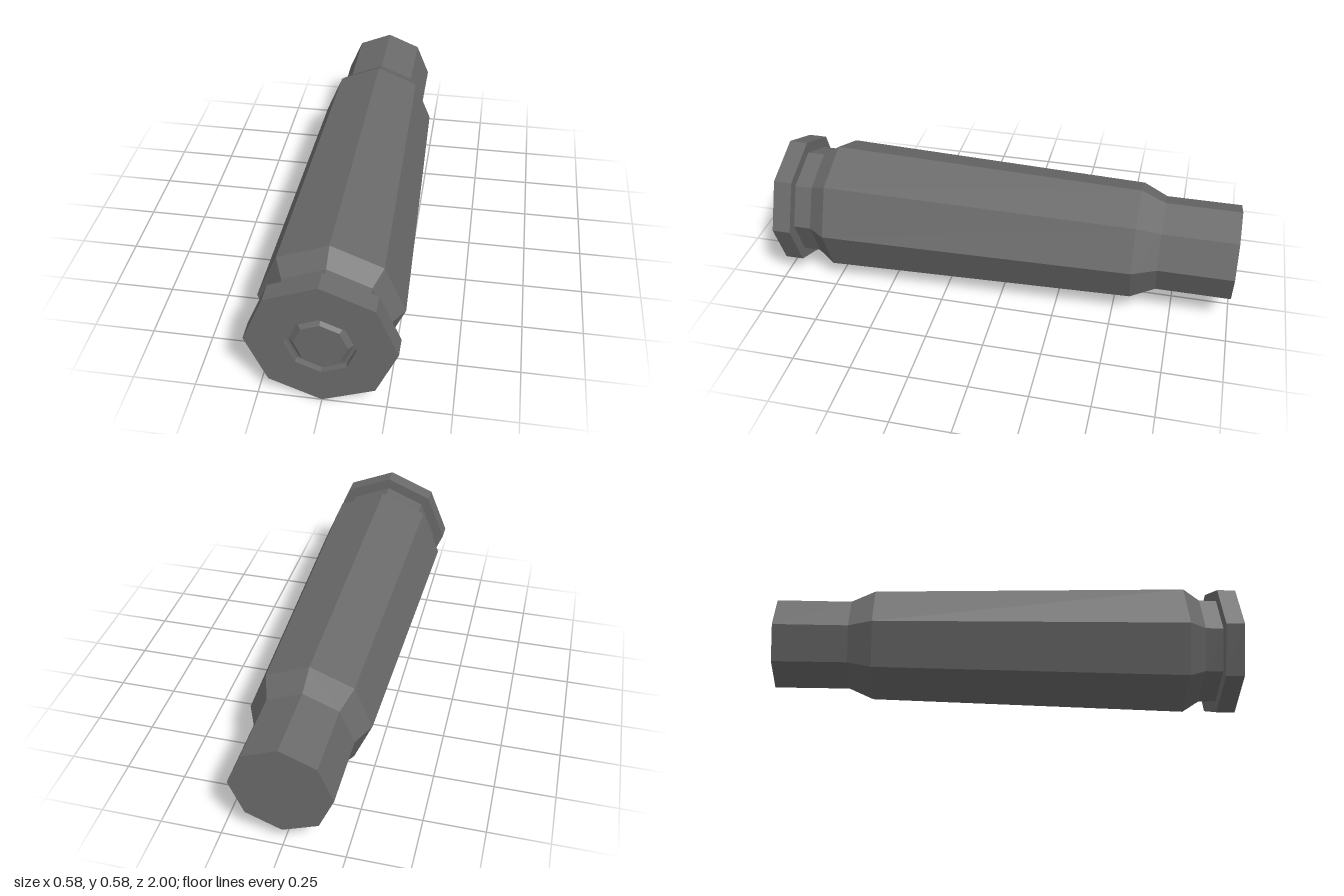
import * as THREE from 'three';

const SIDES = 8;
const RADIUS = 0.29;

// Faceted solid of revolution about z; profile is [radius, z] from back to front
function turned(name, profile) {
  const points = profile.map(([r, z]) => new THREE.Vector2(r, z));
  const geometry = new THREE.LatheGeometry(points, SIDES);
  geometry.rotateX(Math.PI / 2);
  geometry.translate(0, RADIUS, 0);
  const material = new THREE.MeshStandardMaterial({ color: 0x6a6a6a, flatShading: true });
  const mesh = new THREE.Mesh(geometry, material);
  mesh.name = name;
  return mesh;
}

export function createModel() {
  const group = new THREE.Group();
  group.name = 'cartridgeCase';

  // Closed neck, shoulder, tapered body, extractor groove, rim and primer pocket
  group.add(turned('caseBody', [
    [0, -1], [0.205, -1],
    [0.205, -0.68],
    [0.253, -0.575],
    [0.29, 0.77],
    [0.24, 0.845], [0.24, 0.92],
    [RADIUS, 0.92], [RADIUS, 1],
    [0.136, 1], [0.136, 0.975], [0, 0.975],
  ]));

  // Bevelled primer cap seated in the pocket
  group.add(turned('primer', [
    [0.123, 0.975], [0.102, 0.995], [0, 0.995],
  ]));

  return group;
}
